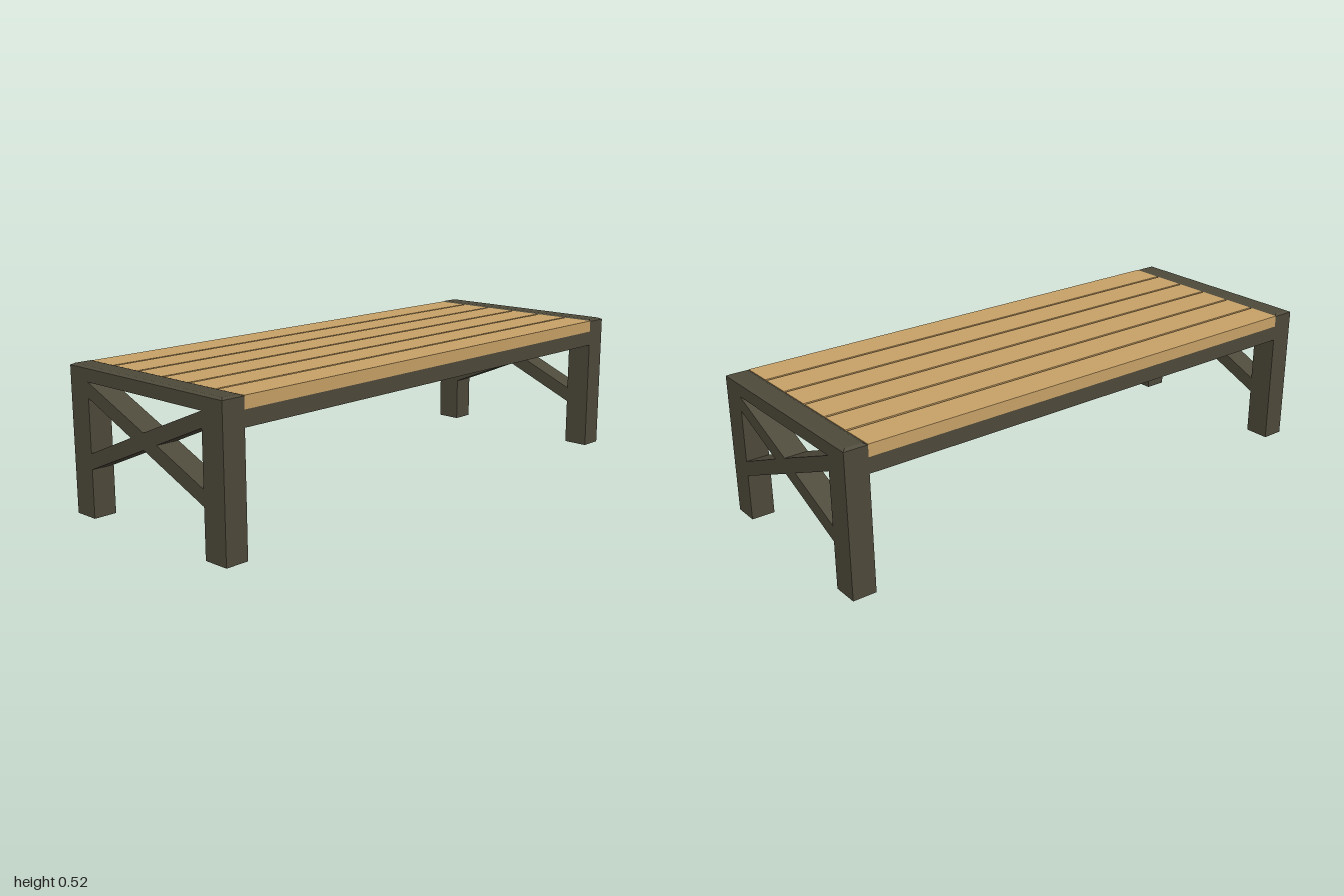
import * as THREE from 'three';

const HALF_W = 0.383, LEG_IN = 0.288, Z_OUT = 1, Z_IN = 0.915;
const TOP = 0.517, BEVEL_Y = 0.511, BEVEL = 0.012;

export function createModel() {
  const model = new THREE.Group();
  model.name = 'slattedBench';
  const frameMat = new THREE.MeshStandardMaterial({ color: 0x4e4a3b });
  frameMat.name = 'darkFrame';
  const woodMat = new THREE.MeshStandardMaterial({ color: 0xc9a367 });
  woodMat.name = 'lightWood';

  const add = (parent, name, geometry, material, x = 0, y = 0, z = 0) => {
    const mesh = new THREE.Mesh(geometry, material);
    mesh.name = name;
    mesh.position.set(x, y, z);
    parent.add(mesh);
    return mesh;
  };
  const points = (list) => list.map(([x, y]) => new THREE.Vector2(x, y));

  // End frame: two legs, top beam and crossed braces cut from one profile
  const profile = new THREE.Shape(points([
    [-HALF_W, 0], [-LEG_IN, 0], [-LEG_IN, 0.17], [0, 0.291], [LEG_IN, 0.17],
    [LEG_IN, 0], [HALF_W, 0], [HALF_W, BEVEL_Y], [-HALF_W, BEVEL_Y],
  ]));
  profile.holes.push(new THREE.Path(points([[-LEG_IN, 0.466], [LEG_IN, 0.466], [0, 0.347]])));
  for (const s of [-1, 1]) {
    profile.holes.push(new THREE.Path(points([
      [s * LEG_IN, 0.413], [s * LEG_IN, 0.225], [s * 0.066, 0.319],
    ])));
  }
  const depth = Z_OUT - Z_IN;
  const frameGeo = new THREE.ExtrudeGeometry(profile, { depth, bevelEnabled: false });
  frameGeo.translate(0, 0, -depth / 2);

  // Bevelled cap: a thin box with its upper face drawn inward
  let capGeo = new THREE.BoxGeometry(HALF_W * 2, TOP - BEVEL_Y, depth);
  const pos = capGeo.attributes.position;
  for (let i = 0; i < pos.count; i++) {
    if (pos.getY(i) > 0) {
      pos.setX(i, pos.getX(i) - Math.sign(pos.getX(i)) * BEVEL);
      pos.setZ(i, pos.getZ(i) - Math.sign(pos.getZ(i)) * BEVEL);
    }
  }
  capGeo = capGeo.toNonIndexed();
  capGeo.computeVertexNormals();

  for (const [name, s] of [['front', 1], ['back', -1]]) {
    const end = new THREE.Group();
    end.name = name + 'End';
    end.position.z = s * (Z_OUT + Z_IN) / 2;
    add(end, name + 'LegFrame', frameGeo, frameMat);
    add(end, name + 'BeamCap', capGeo, frameMat, 0, (TOP + BEVEL_Y) / 2);
    model.add(end);
  }

  // Long side rails between the ends
  const railW = HALF_W - LEG_IN;
  const railGeo = new THREE.BoxGeometry(railW, 0.055, Z_IN * 2);
  for (const [name, s] of [['left', 1], ['right', -1]]) {
    add(model, name + 'Rail', railGeo, frameMat, s * (HALF_W - railW / 2), 0.4425, 0);
  }

  // Six seat slats with narrow open gaps
  const count = 6, gap = 0.009;
  const slatW = (HALF_W * 2 - gap * (count - 1)) / count;
  const slatGeo = new THREE.BoxGeometry(slatW, 0.043, Z_IN * 2);
  for (let i = 0; i < count; i++) {
    add(model, 'seatSlat' + (i + 1), slatGeo, woodMat,
      -HALF_W + slatW / 2 + i * (slatW + gap), 0.4915, 0);
  }
  return model;
}
